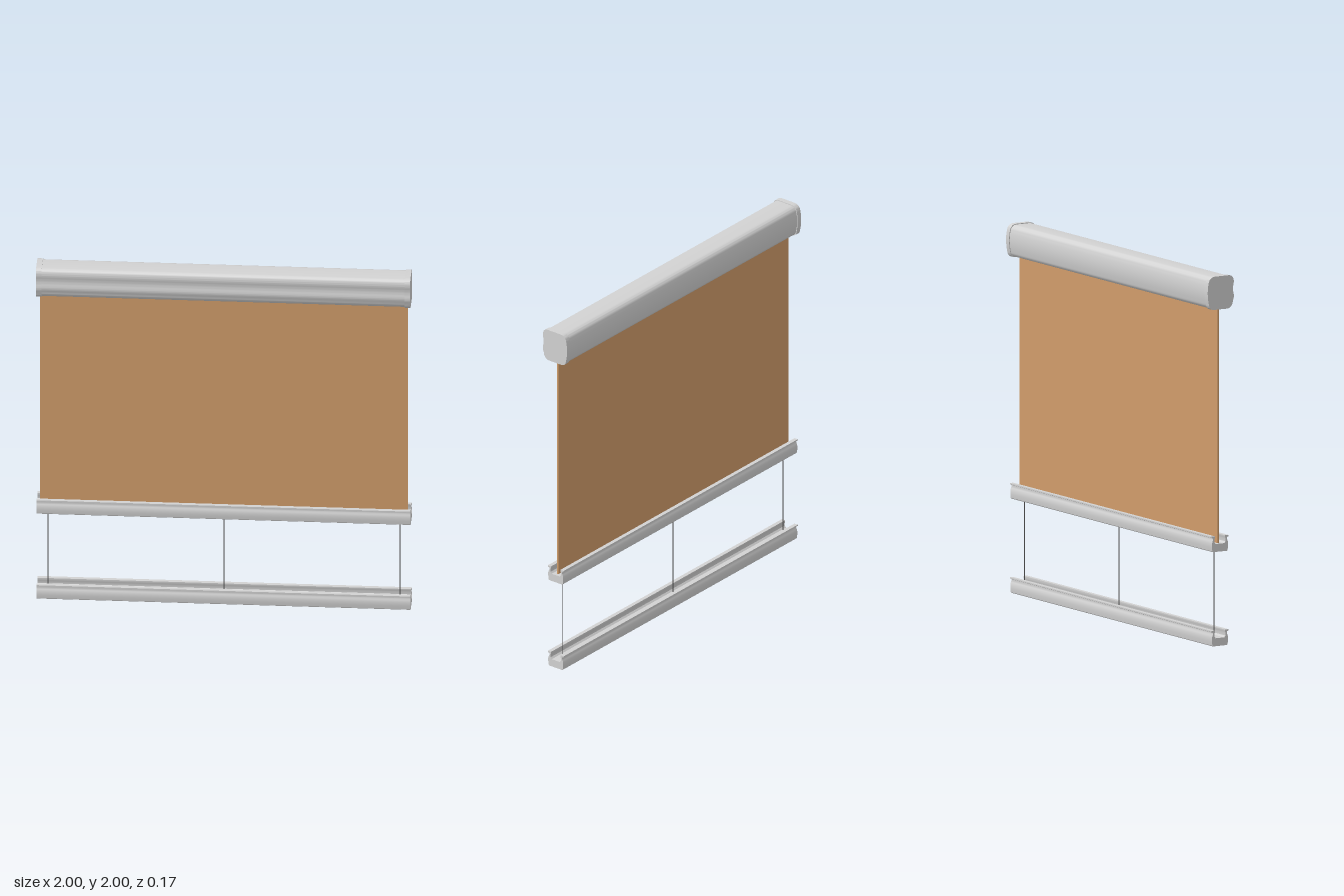
import * as THREE from 'three';
import { toCreasedNormals } from 'three/addons/utils/BufferGeometryUtils.js';

const metal = new THREE.MeshStandardMaterial({ color: 0xd2d2d2 });
metal.name = 'pale grey metal';
const cloth = new THREE.MeshStandardMaterial({ color: 0xd09c6a });
cloth.name = 'tan cloth';
const cord = new THREE.MeshStandardMaterial({ color: 0x555555 });
cord.name = 'dark cord';

const Z = -0.006; // plane in which the cloth hangs

// Sweep a (z, y) profile along x, centred on the given x
function sweep(shape, length, x, name) {
  let g = new THREE.ExtrudeGeometry(shape, { depth: length, bevelEnabled: false, curveSegments: 8 });
  g.translate(0, 0, -length / 2);
  g.rotateY(-Math.PI / 2);
  g = toCreasedNormals(g, 0.6);
  const mesh = new THREE.Mesh(g, metal);
  mesh.name = name;
  mesh.position.x = x;
  return mesh;
}

// Rounded housing outline with a shallow waist on the front; inset shrinks it
function housingShape(inset) {
  const kz = 1 - inset / 0.083, ky = 1 - inset / 0.09;
  const p = (z, y) => [z * kz, 1.91 + (y - 1.91) * ky];
  const s = new THREE.Shape();
  s.moveTo(...p(-0.04, 2));
  s.lineTo(...p(0.045, 2));
  s.quadraticCurveTo(...p(0.076, 2), ...p(0.08, 1.975));
  s.quadraticCurveTo(...p(0.083, 1.965), ...p(0.08, 1.95));
  s.quadraticCurveTo(...p(0.073, 1.925), ...p(0.08, 1.9));
  s.quadraticCurveTo(...p(0.086, 1.88), ...p(0.076, 1.862));
  s.lineTo(...p(0.074, 1.848));
  s.quadraticCurveTo(...p(0.066, 1.824), ...p(0.045, 1.82));
  s.lineTo(...p(-0.05, 1.82));
  s.quadraticCurveTo(...p(-0.072, 1.824), ...p(-0.076, 1.85));
  s.quadraticCurveTo(...p(-0.09, 1.91), ...p(-0.078, 1.965));
  s.quadraticCurveTo(...p(-0.072, 1.998), ...p(-0.04, 2));
  return s;
}

// Open channel rail with small outward lips, mirrored about its centre
function railShape() {
  const half = [
    [0.044, 0], [0.048, 0.004], [0.051, 0.025], [0.051, 0.045], [0.047, 0.058],
    [0.043, 0.066], [0.044, 0.074], [0.054, 0.078], [0.054, 0.085], [0.032, 0.085],
    [0.032, 0.075], [0.035, 0.068], [0.035, 0.052], [0.027, 0.043],
  ];
  const pts = half.concat(half.map(([z, y]) => [-z, y]).reverse());
  return new THREE.Shape(pts.map(([z, y]) => new THREE.Vector2(z + Z, y)));
}

export function createModel() {
  const model = new THREE.Group();
  model.name = 'rollerBlind';

  // Top housing with slightly larger end caps
  const housing = new THREE.Group();
  housing.name = 'housing';
  housing.add(sweep(housingShape(0.004), 1.95, 0, 'housingBody'));
  for (const side of [1, -1]) {
    housing.add(sweep(housingShape(0), 0.03, side * 0.985, side > 0 ? 'leftEndCap' : 'rightEndCap'));
  }
  model.add(housing);

  // Hanging cloth, tucked into the housing and the upper rail
  const sheet = new THREE.Mesh(new THREE.BoxGeometry(1.965, 1.3, 0.008), cloth);
  sheet.name = 'clothSheet';
  sheet.position.set(0, 1.195, Z);
  model.add(sheet);

  // Two identical rails
  for (const [name, y] of [['upperRail', 0.51], ['lowerRail', 0]]) {
    const rail = sweep(railShape(), 2, 0, name);
    rail.position.y = y;
    model.add(rail);
  }

  // Cords joining the rails
  const cordGeometry = new THREE.CylinderGeometry(0.0025, 0.0025, 0.48, 8);
  for (const x of [-0.94, 0, 0.94]) {
    const line = new THREE.Mesh(cordGeometry, cord);
    line.name = 'cord';
    line.position.set(x, 0.28, Z);
    model.add(line);
  }
  return model;
}
